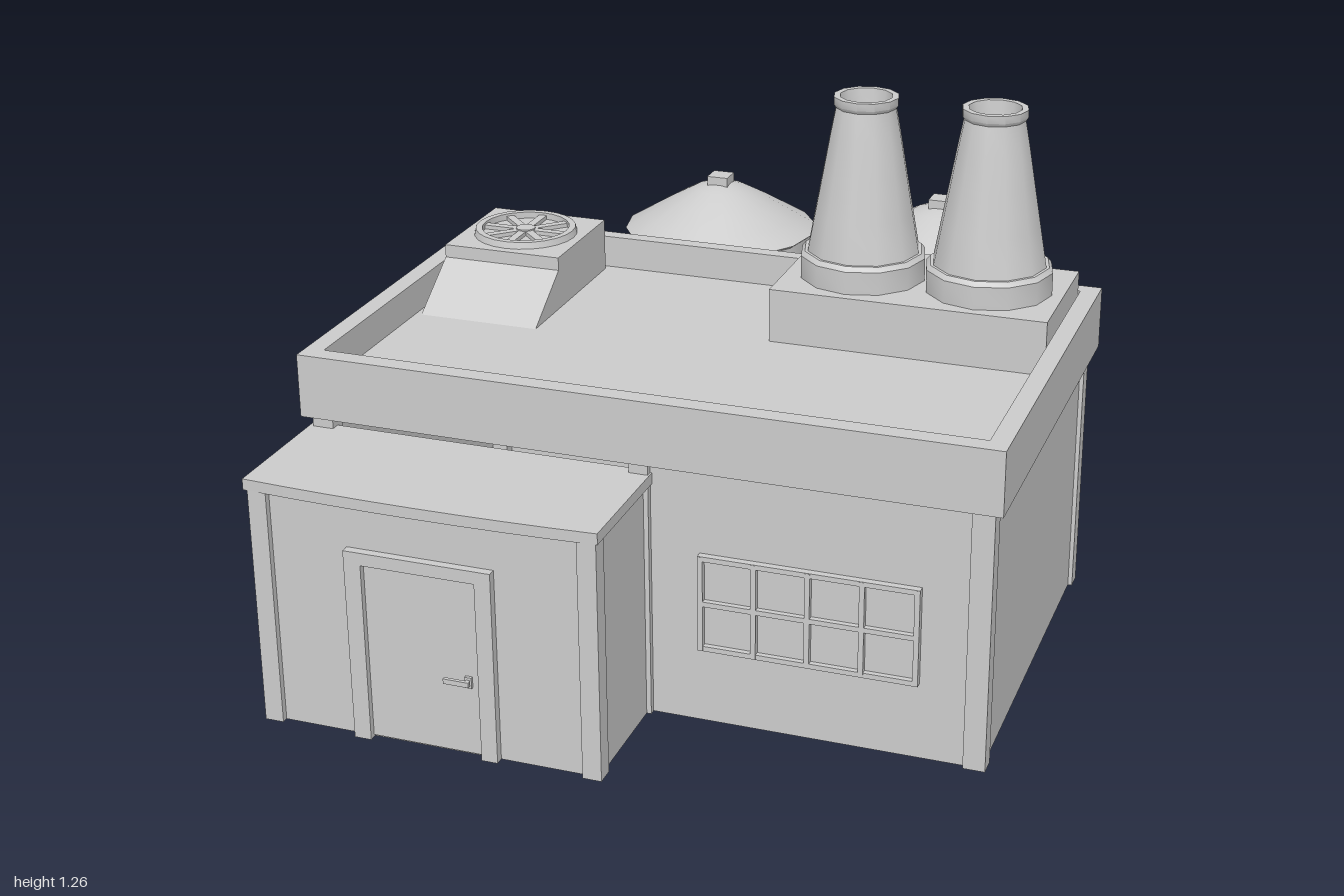
import * as THREE from 'three';
import { toCreasedNormals } from 'three/addons/utils/BufferGeometryUtils.js';

const grey = new THREE.MeshStandardMaterial({ color: 0xcccccc });
const thin = new THREE.MeshStandardMaterial({ color: 0xcccccc, side: THREE.DoubleSide });

function add(parent, name, geometry, material = grey) {
  const mesh = new THREE.Mesh(geometry, material);
  mesh.name = name;
  parent.add(mesh);
  return mesh;
}

// Box given by its limits on each axis
function box(parent, name, x0, x1, y0, y1, z0, z1) {
  const mesh = add(parent, name, new THREE.BoxGeometry(x1 - x0, y1 - y0, z1 - z0));
  mesh.position.set((x0 + x1) / 2, (y0 + y1) / 2, (z0 + z1) / 2);
  return mesh;
}

// Upright single-sheet wall between two ground points
function wall(parent, name, xa, za, xb, zb, height) {
  const mesh = add(parent, name, new THREE.PlaneGeometry(Math.hypot(xb - xa, zb - za), height), thin);
  mesh.position.set((xa + xb) / 2, height / 2, (za + zb) / 2);
  mesh.rotation.y = -Math.atan2(zb - za, xb - xa);
}

function lathe(parent, name, points, sides) {
  const profile = points.map(([r, y]) => new THREE.Vector2(r, y));
  return add(parent, name, toCreasedNormals(new THREE.LatheGeometry(profile, sides), 0.6));
}

function pipe(parent, name, from, to, radius) {
  const path = new THREE.LineCurve3(new THREE.Vector3(...from), new THREE.Vector3(...to));
  return add(parent, name, new THREE.TubeGeometry(path, 1, radius, 12));
}

// Flat outline in x and z, extruded from y0 to y1
function slab(parent, name, shape, y0, y1) {
  const geometry = new THREE.ExtrudeGeometry(shape, { depth: y1 - y0, bevelEnabled: false, curveSegments: 8 });
  geometry.rotateX(-Math.PI / 2);
  add(parent, name, geometry).position.y = y0;
}

function rectangle(target, x0, x1, z0, z1) {
  target.moveTo(x0, -z0).lineTo(x0, -z1).lineTo(x1, -z1).lineTo(x1, -z0).closePath();
  return target;
}

function mainBuilding() {
  const g = new THREE.Group();
  g.name = 'mainBuilding';
  wall(g, 'frontWall', 0.01, 0.67, 0.78, 0.67, 0.63);
  wall(g, 'backWall', 0.78, -0.27, -0.78, -0.27, 0.63);
  wall(g, 'leftWall', 0.78, 0.67, 0.78, -0.27, 0.63);
  wall(g, 'rightWall', -0.78, -0.27, -0.78, 0.67, 0.63);
  for (const x of [-0.765, 0.765])
    for (const z of [-0.26, 0.66]) box(g, 'cornerPost', x - 0.025, x + 0.025, 0, 0.63, z - 0.022, z + 0.022);

  // Parapet ring and sunken roof
  const ring = rectangle(new THREE.Shape(), -0.81, 0.81, -0.305, 0.7);
  ring.holes.push(rectangle(new THREE.Path(), -0.765, 0.765, -0.268, 0.655));
  slab(g, 'parapet', ring, 0.62, 0.77);
  const roof = add(g, 'roof', new THREE.PlaneGeometry(1.56, 0.95), thin);
  roof.rotation.x = -Math.PI / 2;
  roof.position.set(0, 0.69, 0.195);
  return g;
}

function gridWindow() {
  const g = new THREE.Group();
  g.name = 'window';
  box(g, 'glass', 0.14, 0.63, 0.19, 0.41, 0.662, 0.674);
  for (let i = 0; i <= 4; i++) {
    const x = 0.14 + i * 0.1225;
    box(g, 'uprightBar', x - 0.006, x + 0.006, 0.185, 0.415, 0.658, 0.688);
  }
  for (const y of [0.19, 0.3, 0.41]) box(g, 'crossBar', 0.134, 0.636, y - 0.006, y + 0.006, 0.658, 0.687);
  return g;
}

function entrance() {
  const g = new THREE.Group();
  g.name = 'entranceAnnex';
  wall(g, 'annexFront', -0.78, 0.97, 0.01, 0.97, 0.57);
  wall(g, 'annexLeftWall', 0.01, 0.97, 0.01, 0.67, 0.57);
  wall(g, 'annexRightWall', -0.78, 0.67, -0.78, 0.97, 0.57);
  for (const x of [-0.768, -0.001]) box(g, 'annexPost', x - 0.022, x + 0.022, 0, 0.57, 0.942, 0.985);
  box(g, 'junctionPost', -0.023, 0.021, 0, 0.62, 0.64, 0.685);

  // Roof with a slightly bowed front edge
  const roof = new THREE.Shape();
  roof.moveTo(-0.8, -0.66).lineTo(-0.8, -0.985);
  roof.quadraticCurveTo(-0.388, -1.012, 0.025, -0.985);
  roof.lineTo(0.025, -0.66).closePath();
  slab(g, 'annexRoof', roof, 0.566, 0.592);

  // Door with frame and handle
  box(g, 'door', -0.525, -0.255, 0.005, 0.43, 0.96, 0.975);
  box(g, 'doorJamb', -0.565, -0.525, 0, 0.46, 0.96, 0.99);
  box(g, 'doorJamb', -0.258, -0.22, 0, 0.46, 0.96, 0.99);
  box(g, 'doorLintel', -0.525, -0.258, 0.43, 0.46, 0.96, 0.99);
  box(g, 'handlePlate', -0.294, -0.278, 0.17, 0.196, 0.97, 0.982);
  box(g, 'handleStem', -0.29, -0.282, 0.178, 0.19, 0.98, 0.992);
  box(g, 'handleLever', -0.34, -0.28, 0.178, 0.19, 0.986, 0.994);
  return g;
}

function ventUnit() {
  const g = new THREE.Group();
  g.name = 'ventUnit';
  box(g, 'ventHousing', -0.75, -0.45, 0.69, 0.82, -0.25, 0.05);

  // Sloping duct in front of the housing
  const side = new THREE.Shape();
  side.moveTo(0, 0).lineTo(0.15, 0).lineTo(0, 0.1).closePath();
  const duct = add(g, 'slopedDuct', new THREE.ExtrudeGeometry(side, { depth: 0.3, bevelEnabled: false }));
  duct.rotation.y = -Math.PI / 2;
  duct.position.set(-0.45, 0.688, 0.05);

  const fan = new THREE.Group();
  fan.name = 'fan';
  fan.position.set(-0.6, 0.82, -0.1);
  lathe(fan, 'fanRing', [[0.108, 0], [0.108, 0.016], [0.124, 0.016], [0.128, 0]].reverse(), 24);
  lathe(fan, 'fanHub', [[0.024, 0], [0.024, 0.013], [0, 0.013]], 12);
  for (let i = 0; i < 8; i++) {
    const arm = new THREE.Group();
    arm.rotation.y = (i * Math.PI) / 4;
    box(arm, 'fanBlade', 0.02, 0.11, 0, 0.01, -0.01, 0.01);
    fan.add(arm);
  }
  g.add(fan);
  return g;
}

function coolingTowers() {
  const g = new THREE.Group();
  g.name = 'coolingTowers';
  box(g, 'towerPlinth', 0.1, 0.76, 0.69, 0.82, -0.265, 0.09);
  for (const x of [0.277, 0.582]) {
    const tower = new THREE.Group();
    tower.name = 'coolingTower';
    tower.position.set(x, 0, -0.085);
    lathe(tower, 'towerFoot', [[0.151, 0.82], [0.151, 0.875], [0.142, 0.886], [0.12, 0.886]], 12);
    lathe(tower, 'towerShell', [[0.136, 0.88], [0.118, 0.98], [0.1, 1.08], [0.084, 1.17], [0.072, 1.232]], 12);
    lathe(tower, 'towerLip', [[0.07, 1.23], [0.077, 1.24], [0.077, 1.258], [0.062, 1.258], [0.055, 1.2], [0, 1.2]], 12);
    g.add(tower);
  }
  return g;
}

function tank(x) {
  const g = new THREE.Group();
  g.name = 'tank';
  g.position.set(x, 0, -0.722);
  lathe(g, 'tankFoot', [[0, 0], [0.27, 0], [0.277, 0.01], [0.277, 0.122], [0.262, 0.142], [0.24, 0.148]], 16);
  lathe(g, 'tankBody', [[0.246, 0.13], [0.246, 0.67]], 16);
  lathe(g, 'tankRoof', [[0.24, 0.655], [0.256, 0.668], [0.2, 0.702], [0.13, 0.744], [0.07, 0.777], [0.03, 0.79], [0, 0.792]], 16);
  box(g, 'tankCap', -0.028, 0.028, 0.78, 0.812, -0.028, 0.028);

  // Ladder on the rear
  for (const s of [-0.05, 0.05]) box(g, 'ladderRail', s - 0.009, s + 0.009, 0.19, 0.65, -0.262, -0.235);
  for (let i = 0; i < 8; i++) {
    const y = 0.225 + i * 0.055;
    box(g, 'ladderRung', -0.05, 0.05, y - 0.006, y + 0.006, -0.257, -0.245);
  }
  return g;
}

export function createModel() {
  const model = new THREE.Group();
  model.name = 'powerStation';
  model.add(mainBuilding(), gridWindow(), entrance(), ventUnit(), coolingTowers());
  for (const x of [-0.305, 0.305]) {
    model.add(tank(x));
    pipe(model, 'feedPipe', [x, 0.465, -0.5], [x, 0.465, -0.26], 0.023);
  }
  pipe(model, 'linkPipe', [-0.11, 0.465, -0.82], [0.11, 0.465, -0.82], 0.02);
  return model;
}
